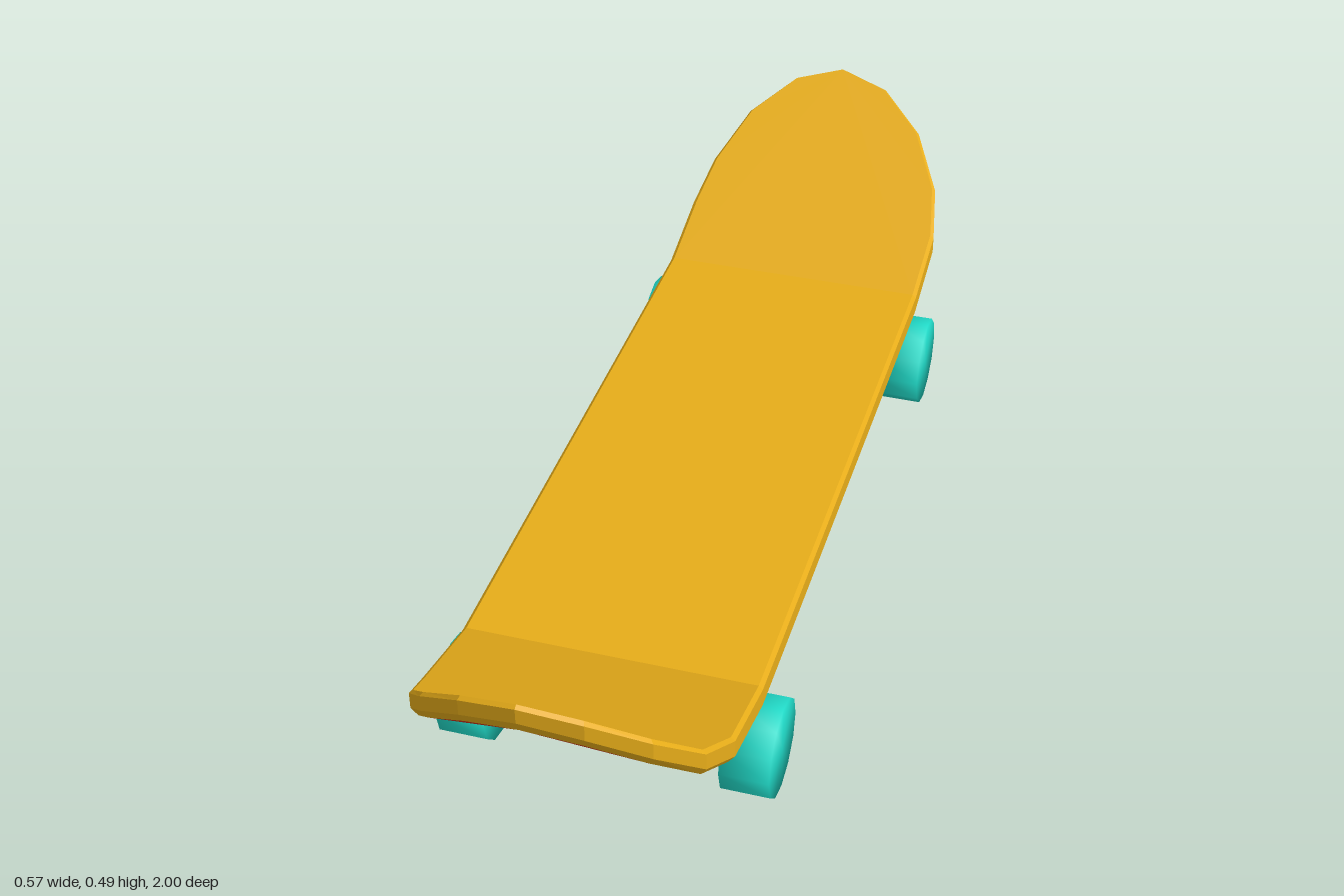
import * as THREE from 'three';
import { mergeVertices } from 'three/addons/utils/BufferGeometryUtils.js';

const mat = (name, color) => {
  const m = new THREE.MeshStandardMaterial({ color });
  m.name = name;
  return m;
};

// Half of the nose outline, from the bend to the tip: x, z, top height
const HALF = [
  [0.256, 0.59, 0.229], [0.256, 0.755, 0.271], [0.237, 0.848, 0.326],
  [0.181, 0.928, 0.407], [0.096, 0.981, 0.469], [0, 1, 0.493],
];
const TIP = 5, N = 11;

// Closed loop round the whole deck, moved inward and down
function ring(inset, drop, tipDrop = drop) {
  const half = HALF.map(([x, z, y], i) => {
    const c = Math.max(z - 0.745, 0), l = Math.hypot(x, c);
    const d = drop + (tipDrop - drop) * i / TIP;
    return [x - inset * x / l, y - d, z - inset * c / l];
  });
  const nose = [...half, ...half.slice(0, TIP).reverse().map(([x, y, z]) => [-x, y, z])];
  return [...nose, ...nose.map(([x, y, z]) => [-x, y, -z])];
}

function soup(points, normals) {
  const g = new THREE.BufferGeometry();
  g.setAttribute('position', new THREE.Float32BufferAttribute(points.flat(), 3));
  if (normals) g.setAttribute('normal', new THREE.Float32BufferAttribute(normals.flat(), 3));
  else g.computeVertexNormals();
  return g;
}

// Deck face: flat middle and a fan from the tip at each end; s = 1 top, -1 bottom
function deckFace(r, s) {
  const pts = [], nor = [];
  const tri = (a, b, c, n) => {
    pts.push(r[a], ...(s > 0 ? [r[b], r[c]] : [r[c], r[b]]));
    const v = n.map((k) => k * s);
    nor.push(v, v, v);
  };
  tri(0, 21, 11, [0, 1, 0]);
  tri(0, 11, 10, [0, 1, 0]);
  for (const [start, dir] of [[0, -1], [N, 1]]) {
    for (let i = 0; i < N; i++) {
      const j = (i + 1) % N;
      if (i === TIP || j === TIP) continue;
      tri(start + TIP, start + j, start + i, [0, 0.866, 0.5 * dir]);
    }
  }
  return soup(pts, nor);
}

// Bands joining the rings round the rim
function deckEdge(rings) {
  const pts = [];
  for (let k = 0; k < rings.length - 1; k++) {
    const u = rings[k], l = rings[k + 1];
    for (let i = 0; i < u.length; i++) {
      const j = (i + 1) % u.length;
      pts.push(u[i], u[j], l[i], u[j], l[j], l[i]);
    }
  }
  return soup(pts);
}

export function createModel() {
  const model = new THREE.Group();
  model.name = 'skateboard';
  const yellow = mat('yellow deck', 0xebb01a);
  const red = mat('red underside', 0xdd3a1d);
  const grey = mat('grey metal', 0xbabdc9);
  const teal = mat('teal wheels', 0x20d8c6);
  const add = (parent, name, geo, material, x = 0, y = 0) => {
    const m = new THREE.Mesh(geo, material);
    m.name = name;
    m.position.set(x, y, 0);
    parent.add(m);
  };

  // Deck
  const rings = [ring(0.007, 0), ring(0, 0.007, 0.004), ring(0, 0.041, 0.031), ring(0.011, 0.054)];
  add(model, 'deckTop', deckFace(rings[0], 1), yellow);
  add(model, 'deckEdge', deckEdge(rings), yellow);
  add(model, 'deckBottom', deckFace(rings[3], -1), red);

  // Wheel with normals shared between rim and caps
  let wheel = new THREE.CylinderGeometry(0.086, 0.086, 0.085, 12);
  wheel.deleteAttribute('uv');
  wheel.deleteAttribute('normal');
  wheel = mergeVertices(wheel, 1e-4);
  wheel.computeVertexNormals();
  wheel.rotateZ(Math.PI / 2);

  // Octagonal axle with faceted sides
  const axle = new THREE.CylinderGeometry(0.026, 0.026, 0.41, 8).toNonIndexed();
  axle.computeVertexNormals();
  axle.rotateZ(Math.PI / 2);
  const block = new THREE.BoxGeometry(0.145, 0.062, 0.09);

  // Trucks and wheels, front and back
  for (const s of [1, -1]) {
    const truck = new THREE.Group();
    truck.name = s > 0 ? 'frontTruck' : 'backTruck';
    truck.position.z = 0.575 * s;
    add(truck, 'truckBlock', block, grey, 0, 0.141);
    add(truck, 'axle', axle, grey, 0, 0.086);
    add(truck, 'leftWheel', wheel, teal, 0.2445, 0.086);
    add(truck, 'rightWheel', wheel, teal, -0.2445, 0.086);
    model.add(truck);
  }
  return model;
}
